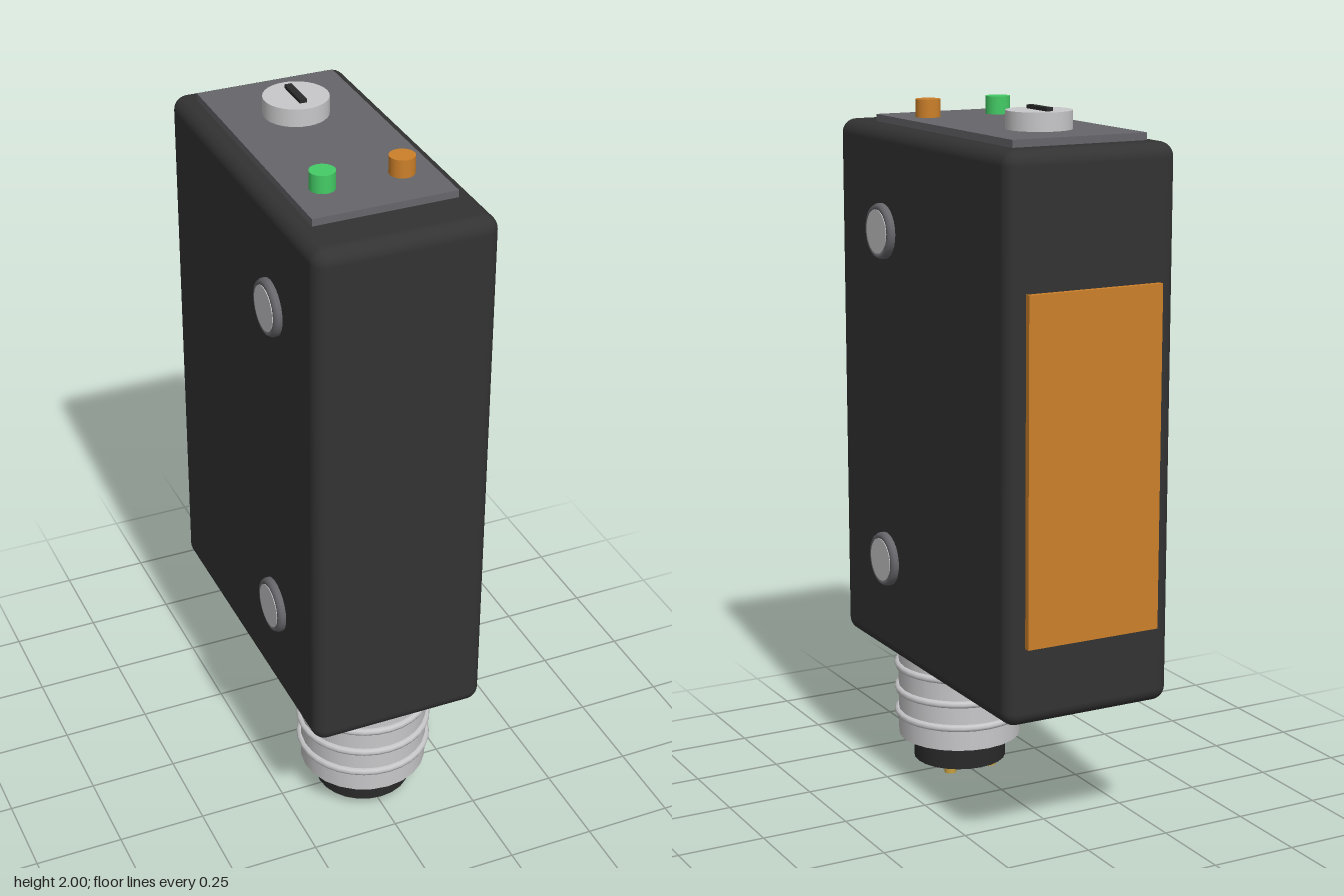
import * as THREE from 'three';
import { RoundedBoxGeometry } from 'three/addons/geometries/RoundedBoxGeometry.js';

export function createModel() {
  const model = new THREE.Group();
  model.name = 'photoelectricSensor';

  const material = (name, color) => {
    const m = new THREE.MeshStandardMaterial({ color });
    m.name = name;
    return m;
  };
  const black = material('black housing', 0x333333);
  const darkPlastic = material('dark plastic', 0x2a2a2a);
  const grey = material('grey panel', 0x66666b);
  const metal = material('light metal', 0xc8c8ca);
  const amber = material('amber', 0xcc802a);
  const green = material('green', 0x44cc66);
  const gold = material('gold', 0xc8a040);

  const add = (name, geometry, mat, x, y, z) => {
    const mesh = new THREE.Mesh(geometry, mat);
    mesh.name = name;
    mesh.position.set(x, y, z);
    model.add(mesh);
    return mesh;
  };
  // Upright cylinder given by its bottom and top heights
  const post = (name, r, y0, y1, mat, x, z, sides = 24) =>
    add(name, new THREE.CylinderGeometry(r, r, y1 - y0, sides), mat, x, (y0 + y1) / 2, z);

  // Housing, top panel and rear lens
  add('housing', new RoundedBoxGeometry(0.506, 1.53, 1.018, 4, 0.04), black, 0, 1.155, 0.008);
  add('topPanel', new THREE.BoxGeometry(0.4, 0.03, 0.8), grey, 0, 1.925, -0.028);
  add('lens', new THREE.BoxGeometry(0.4, 0.945, 0.03), amber, 0, 1.083, -0.503);

  // Adjustment knob with slot, and indicator lamps
  post('adjustmentKnob', 0.09, 1.93, 1.99, metal, 0, -0.209, 32);
  add('knobSlot', new THREE.BoxGeometry(0.02, 0.012, 0.108), darkPlastic, 0, 1.994, -0.211);
  post('greenLamp', 0.035, 1.93, 1.99, green, -0.11, 0.226);
  post('amberLamp', 0.035, 1.93, 1.99, amber, 0.11, 0.226);

  // Mounting bushings on both sides
  for (const side of [-1, 1]) {
    for (const y of [0.68, 1.63]) {
      const rim = new THREE.LatheGeometry([
        [0.078, 0], [0.078, 0.034], [0.073, 0.043], [0.062, 0.043], [0.062, 0.03],
      ].map(([r, h]) => new THREE.Vector2(r, h)), 28);
      const ring = add('bushingRing', rim, grey, side * 0.23, y, 0.226);
      ring.rotation.z = -side * Math.PI / 2;
      const disc = add('bushingDisc', new THREE.CylinderGeometry(0.062, 0.062, 0.045, 28),
        metal, side * 0.2525, y, 0.226);
      disc.rotation.z = Math.PI / 2;
    }
  }

  // Threaded connector with insert and four pins
  const cz = 0.265;
  const barrelMetal = metal;
  const barrel = new THREE.CylinderGeometry(0.182, 0.182, 0.3, 24);
  add('connectorBarrel', barrel, barrelMetal, 0, 0.25, cz);
  for (const y of [0.17, 0.243, 0.317]) {
    const thread = add('connectorThread', new THREE.TorusGeometry(0.183, 0.011, 8, 32), metal, 0, y, cz);
    thread.rotation.x = Math.PI / 2;
  }
  post('connectorInsert', 0.137, 0.025, 0.11, darkPlastic, 0, cz);
  for (const dx of [-0.066, 0.066]) {
    for (const dz of [-0.066, 0.066]) {
      post('contactPin', 0.018, 0, 0.04, gold, dx, cz + dz, 12);
    }
  }

  return model;
}
